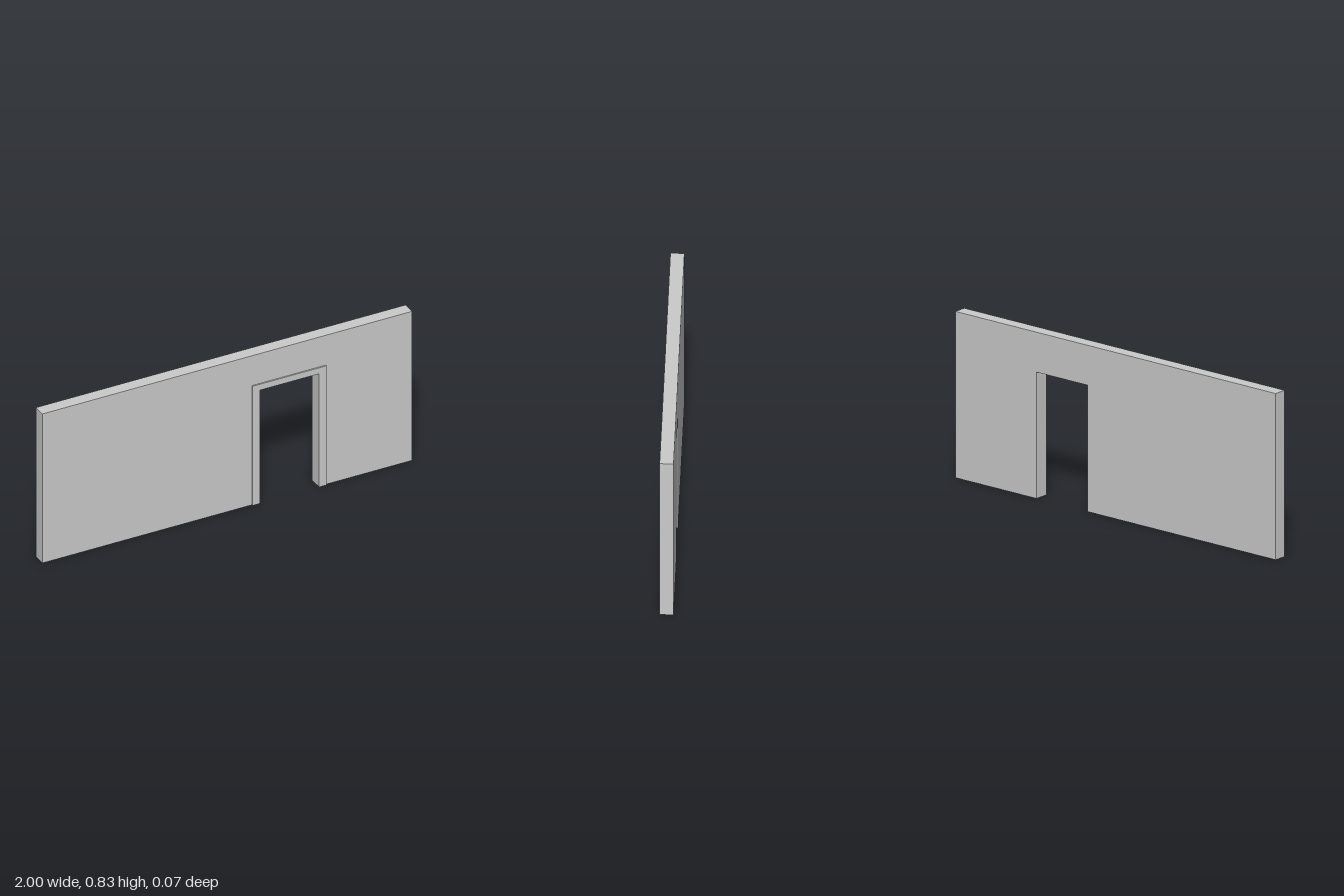
import * as THREE from 'three';

const DOOR = { left: 0.1733, right: 0.4933, top: 0.6333 };

// Upright slab whose outline runs around the doorway, open at the floor
function doorwaySlab(name, x0, x1, height, zBack, depth, material) {
  const shape = new THREE.Shape([
    [x0, 0], [DOOR.left, 0], [DOOR.left, DOOR.top], [DOOR.right, DOOR.top],
    [DOOR.right, 0], [x1, 0], [x1, height], [x0, height],
  ].map(([x, y]) => new THREE.Vector2(x, y)));
  const geometry = new THREE.ExtrudeGeometry(shape, { depth, bevelEnabled: false });
  geometry.translate(0, 0, zBack);
  const mesh = new THREE.Mesh(geometry, material);
  mesh.name = name;
  return mesh;
}

export function createModel() {
  const group = new THREE.Group();
  group.name = 'wallWithDoorway';
  const material = new THREE.MeshStandardMaterial({ color: 0xcccccc });

  // Main wall panel
  group.add(doorwaySlab('wall', -1, 1, 0.8333, -0.0367, 0.0667, material));
  // Thin raised casing around the doorway, front side only
  group.add(doorwaySlab('doorCasing', 0.1333, 0.5333, 0.6667, 0.03, 0.0067, material));
  return group;
}
